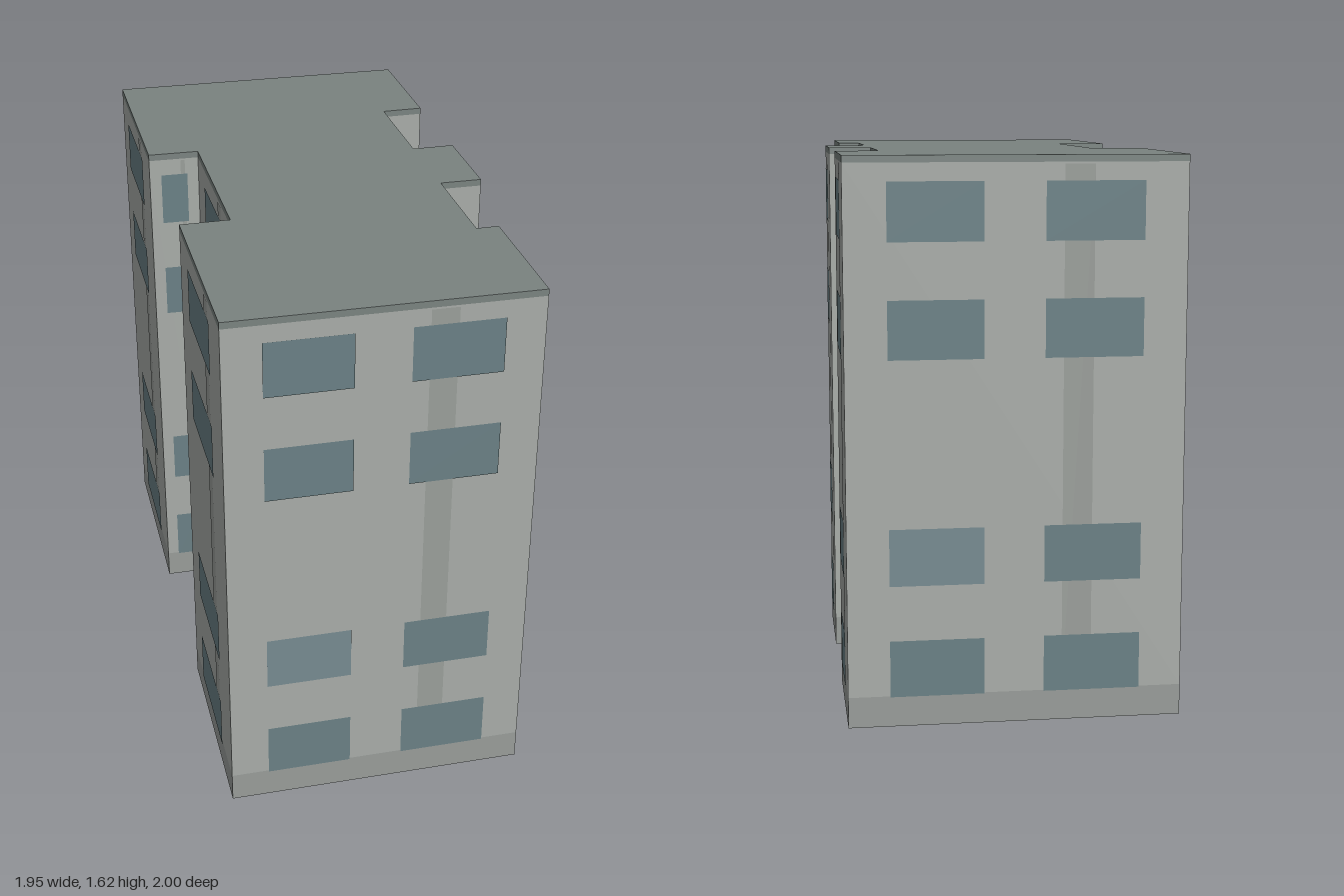
import * as THREE from 'three';

const HEIGHT = 1.62, PLINTH = 0.09, ROOF = 0.02;

// Footprint corners as [x, z], walked so that the outside is on a fixed side
const FOOTPRINT = [
  [-0.975, 0.40], [-0.30, 0.995], [-0.015, 0.672], [-0.067, 0.628],
  [0.165, 0.362], [0.262, 0.447], [0.46, 0.222], [0.36, 0.137],
  [0.595, -0.133], [0.695, -0.05], [0.972, -0.365], [0.247, -1.0],
  [-0.18, -0.515], [-0.062, -0.41], [-0.433, 0.013], [-0.548, -0.085],
];
const END_WALLS = [0, 10];
const FLOORS = [[0.088, 0.253], [0.413, 0.578], [1.058, 1.224], [1.384, 1.549]];

const mat = (color) => new THREE.MeshStandardMaterial({ color, roughness: 0.9 });

export function createModel() {
  const wallMat = mat(0xa8aca8), plinthMat = mat(0x989c99), roofMat = mat(0x7a8380);
  const stripMat = mat(0x9a9e9a), glassMat = mat(0x6a8085), paleGlassMat = mat(0x768a90);
  const model = new THREE.Group();
  model.name = 'apartmentBlock';

  // Stacked slabs of the same footprint: plinth, walls, roof
  const outline = new THREE.Shape(FOOTPRINT.map(([x, z]) => new THREE.Vector2(x, -z)));
  const slab = (name, y0, y1, capMat, sideMat) => {
    const geo = new THREE.ExtrudeGeometry(outline, { depth: y1 - y0, bevelEnabled: false });
    geo.rotateX(-Math.PI / 2);
    const mesh = new THREE.Mesh(geo, [capMat, sideMat]);
    mesh.position.y = y0;
    mesh.name = name;
    model.add(mesh);
  };
  slab('plinth', 0, PLINTH, wallMat, plinthMat);
  slab('walls', PLINTH, HEIGHT - ROOF, wallMat, wallMat);
  slab('roof', HEIGHT - ROOF, HEIGHT, roofMat, roofMat);

  // Windows and a vertical strip on every wall that is wide enough
  FOOTPRINT.forEach(([ax, az], i) => {
    const [bx, bz] = FOOTPRINT[(i + 1) % FOOTPRINT.length];
    const length = Math.hypot(bx - ax, bz - az);
    if (length < 0.14) return;

    const facade = new THREE.Group();
    facade.name = 'facade' + i;
    facade.position.set(ax, 0, az);
    facade.rotation.y = Math.atan2(az - bz, bx - ax);
    model.add(facade);

    // Flat panel between two fractions of the wall length
    const panel = (name, u0, u1, y0, y1, offset, material) => {
      const mesh = new THREE.Mesh(new THREE.PlaneGeometry((u1 - u0) * length, y1 - y0), material);
      mesh.position.set((u0 + u1) / 2 * length, (y0 + y1) / 2, offset);
      mesh.name = name;
      facade.add(mesh);
    };

    const isEnd = END_WALLS.includes(i);
    const columns = isEnd ? [[0.125, 0.405], [0.583, 0.872]] : [[0.235, 0.768]];
    panel('wallStrip', 0.637, 0.725, PLINTH, HEIGHT - 0.025, 0.0015, stripMat);
    FLOORS.forEach(([y0, y1], floor) => columns.forEach(([u0, u1], column) => {
      const pale = isEnd && floor === 1 && column === 0;
      panel('window', u0, u1, y0, y1, 0.003, pale ? paleGlassMat : glassMat);
    }));
  });

  return model;
}
